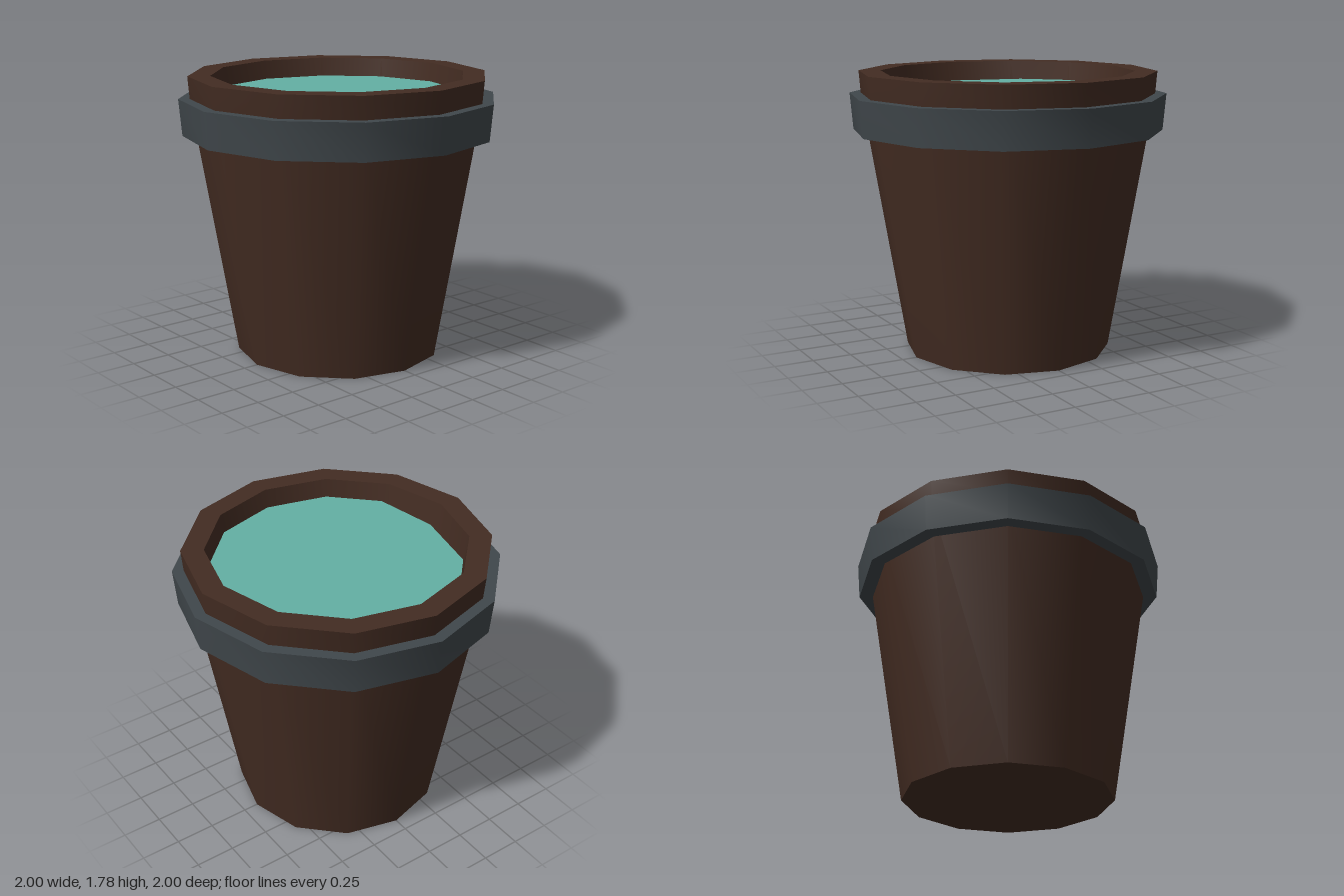
import * as THREE from 'three';
import { toCreasedNormals } from 'three/addons/utils/BufferGeometryUtils.js';

const SIDES = 12;

// Twelve-sided turned part: smooth around, sharp at the profile's corners
function turned(name, profile, material) {
  const points = profile.map(([r, y]) => new THREE.Vector2(r, y));
  const geometry = toCreasedNormals(new THREE.LatheGeometry(points, SIDES), 0.7);
  const mesh = new THREE.Mesh(geometry, material);
  mesh.name = name;
  return mesh;
}

export function createModel() {
  const wood = new THREE.MeshStandardMaterial({ color: 0x432c22 });
  wood.name = 'dark wood';
  const iron = new THREE.MeshStandardMaterial({ color: 0x40474b });
  iron.name = 'grey iron';
  const teal = new THREE.MeshStandardMaterial({ color: 0x63b0a4 });
  teal.name = 'teal water';

  const bucket = new THREE.Group();
  bucket.name = 'bucket';

  // Hollow tapered body: underside, outer wall, rim, inner wall, floor
  bucket.add(turned('body', [
    [0, 0], [0.655, 0], [0.927, 1.62], [0.94, 1.78],
    [0.8, 1.78], [0.55, 0.15], [0, 0.15],
  ], wood));

  // Hoop around the top
  bucket.add(turned('hoop', [
    [0.86, 1.41], [0.98, 1.41], [1, 1.64], [0.9, 1.64],
  ], iron));

  // Liquid surface, leaving a narrow gap at the front wall
  const outline = [
    [0.78, 0], [0.68, 0.39], [0.42, 0.65], [0, 0.72], [-0.44, 0.62], [-0.67, 0.4],
    [-0.78, 0], [-0.67, -0.4], [-0.39, -0.68], [0, -0.78], [0.39, -0.68], [0.68, -0.39],
  ].map(([x, z]) => new THREE.Vector2(x, -z));
  const surface = new THREE.ShapeGeometry(new THREE.Shape(outline)).rotateX(-Math.PI / 2);
  const water = new THREE.Mesh(surface, teal);
  water.name = 'water';
  water.position.y = 1.66;
  bucket.add(water);

  return bucket;
}
